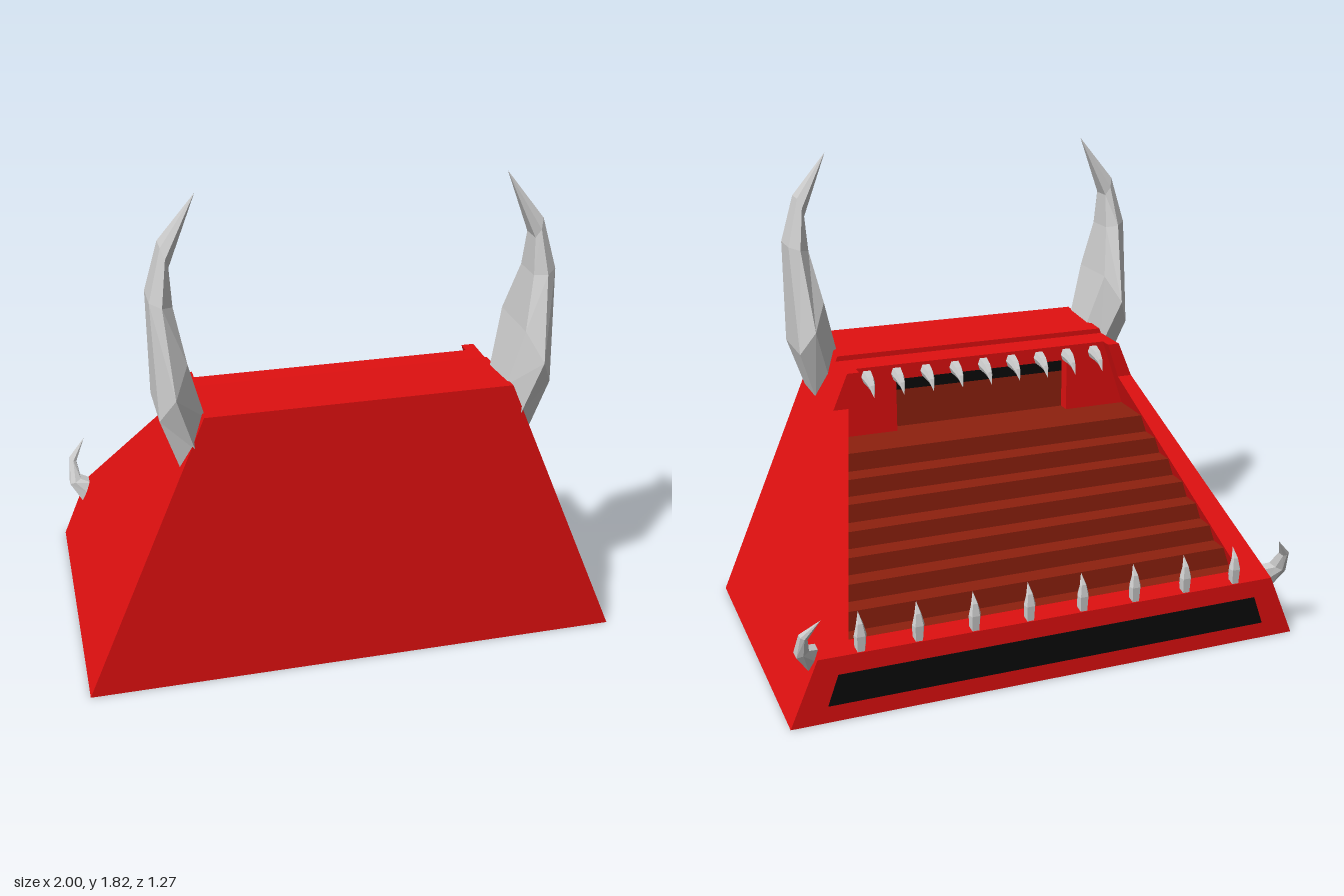
import * as THREE from 'three';

const mat = (color, side = THREE.FrontSide) =>
  new THREE.MeshStandardMaterial({ color, flatShading: true, side });
const red = mat(0xe01010);
const brown = mat(0x8e200e);
const black = mat(0x0a0a0a);
const bone = mat(0xcccccc, THREE.DoubleSide);

// Half widths of the tapering body at height y
const outer = (y) => 1 - 0.42 * y;
const inner = (y) => 0.87 - 0.34 * y;
const neg = (f) => (y) => -f(y);

// Side profile of [z, y] points spanning x0(y)..x1(y)
function span(name, profile, x0, x1, material) {
  const shape = new THREE.Shape(profile.map(([z, y]) => new THREE.Vector2(z, y)));
  const geo = new THREE.ExtrudeGeometry(shape, { depth: 1, bevelEnabled: false });
  const p = geo.attributes.position;
  for (let i = 0; i < p.count; i++) {
    const z = p.getX(i), y = p.getY(i), t = p.getZ(i);
    p.setXYZ(i, x1(y) + (x0(y) - x1(y)) * t, y, z);
  }
  geo.computeVertexNormals();
  const mesh = new THREE.Mesh(geo, material);
  mesh.name = name;
  return mesh;
}

// Six-sided horn: rings of [outX, outY, inX, inY, z, halfDepth] ending in a tip
function hornGeometry(rings, tip) {
  const pos = [], index = [];
  for (const [ox, oy, ix, iy, z, h] of rings) {
    const mx = (ox + ix) / 2, my = (oy + iy) / 2;
    pos.push(ox, oy, z + 0.65 * h, mx, my, z + h, ix, iy, z + 0.65 * h);
    pos.push(ix, iy, z - 0.65 * h, mx, my, z - h, ox, oy, z - 0.65 * h);
  }
  pos.push(...tip);
  const tipIndex = rings.length * 6;
  for (let r = 0; r < rings.length; r++) {
    for (let i = 0; i < 6; i++) {
      const a = r * 6 + i, b = r * 6 + (i + 1) % 6;
      if (r === rings.length - 1) index.push(a, tipIndex, b);
      else index.push(a, a + 6, b, b, a + 6, b + 6);
    }
  }
  const geo = new THREE.BufferGeometry();
  geo.setAttribute('position', new THREE.Float32BufferAttribute(pos, 3));
  geo.setIndex(index);
  const flat = geo.toNonIndexed();
  flat.computeVertexNormals();
  return flat;
}

export function createModel() {
  const group = new THREE.Group();
  const add = (...args) => group.add(span(...args));
  const constant = (v) => () => v;

  // Side walls with the sloping frame edge
  const wall = [[0.6, 0], [-0.585, 0], [-0.585, 0.25], [0.13, 0.89], [0.13, 1.03],
    [0.3, 1.03], [0.3, 1.05], [0.6, 1.07]];
  add('leftWall', wall, inner, outer, red);
  add('rightWall', wall, neg(outer), neg(inner), red);

  // Front block with roof and overhanging rim
  add('frontBlock', [[0.6, 0], [0.24, 0], [0.24, 0.97], [0.18, 0.97], [0.18, 1.03],
    [0.3, 1.03], [0.3, 1.05], [0.6, 1.07]], neg(inner), inner, red);

  // Back lip and base plate
  add('backLip', [[-0.585, 0], [-0.585, 0.25], [-0.545, 0.286], [-0.545, 0]], neg(inner), inner, red);
  add('basePlate', [[-0.545, 0], [-0.545, 0.02], [0.24, 0.02], [0.24, 0]], neg(inner), inner, red);

  // Dark panel on the back
  const panelHalf = (y) => 0.887 - 0.35 * y;
  add('backPanel', [[-0.588, 0.065], [-0.588, 0.18], [-0.58, 0.18], [-0.58, 0.065]],
    neg(panelHalf), panelHalf, black);

  // Stepped slope between the side frames
  const risers = [-0.545, -0.46, -0.385, -0.31, -0.235, -0.155, -0.08, 0];
  const steps = [[0.24, 0.02], [-0.545, 0.02]];
  risers.forEach((z, i) => {
    const y = 0.235 + 0.895 * (z + 0.585);
    steps.push([z, y], [i < 7 ? risers[i + 1] : 0.24, y]);
  });
  add('steps', steps, neg(inner), inner, brown);

  // Recess below the rim: cheeks, inner wall and dark slot
  const cheek = [[0.18, 0.7], [0.18, 0.97], [0.24, 0.97], [0.24, 0.7]];
  add('leftCheek', cheek, constant(0.36), inner, red);
  add('rightCheek', cheek, neg(inner), constant(-0.36), red);
  add('recessWall', [[0.23, 0.74], [0.23, 0.91], [0.24, 0.91], [0.24, 0.74]],
    constant(-0.36), constant(0.36), brown);
  add('recessSlot', [[0.23, 0.91], [0.23, 0.97], [0.24, 0.97], [0.24, 0.91]],
    constant(-0.36), constant(0.36), black);

  // Large front horns and small back horns
  const largeHorn = hornGeometry([
    [0.63, 0.86, 0.54, 1.05, 0.47, 0.13],
    [0.697, 1.06, 0.595, 1.26, 0.455, 0.183],
    [0.707, 1.47, 0.63, 1.45, 0.468, 0.095],
    [0.66, 1.65, 0.635, 1.58, 0.47, 0.06],
  ], [0.535, 1.815, 0.47]);
  const smallHorn = hornGeometry([
    [0.92, 0.195, 0.87, 0.27, -0.525, 0.035],
    [0.965, 0.265, 0.92, 0.285, -0.55, 0.036],
    [0.955, 0.355, 0.93, 0.345, -0.59, 0.022],
  ], [0.888, 0.425, -0.632]);
  for (const side of [1, -1]) {
    for (const [name, geo] of [['FrontHorn', largeHorn], ['BackHorn', smallHorn]]) {
      const horn = new THREE.Mesh(geo, bone);
      horn.name = (side > 0 ? 'left' : 'right') + name;
      horn.scale.x = side;
      group.add(horn);
    }
  }

  // Rows of teeth, shaped in the side plane and turned to face back
  function teethRow(name, count, pitch, rings, tip) {
    const geo = hornGeometry(rings, tip).rotateY(-Math.PI / 2);
    const row = new THREE.Group();
    row.name = name;
    for (let i = 0; i < count; i++) {
      const tooth = new THREE.Mesh(geo, bone);
      tooth.name = 'tooth';
      tooth.position.x = (i - (count - 1) / 2) * pitch;
      row.add(tooth);
    }
    group.add(row);
  }
  teethRow('upperTeeth', 9, 0.119, [
    [0.19, 1.02, 0.19, 0.972, 0, 0.024],
    [0.135, 1.004, 0.14, 0.968, 0, 0.018],
    [0.105, 0.98, 0.112, 0.96, 0, 0.011],
  ], [0.085, 0.935, 0]);
  teethRow('lowerTeeth', 8, 0.211, [
    [-0.583, 0.25, -0.548, 0.27, 0, 0.02],
    [-0.587, 0.31, -0.556, 0.315, 0, 0.023],
    [-0.578, 0.355, -0.56, 0.35, 0, 0.013],
  ], [-0.55, 0.393, 0]);

  return group;
}
